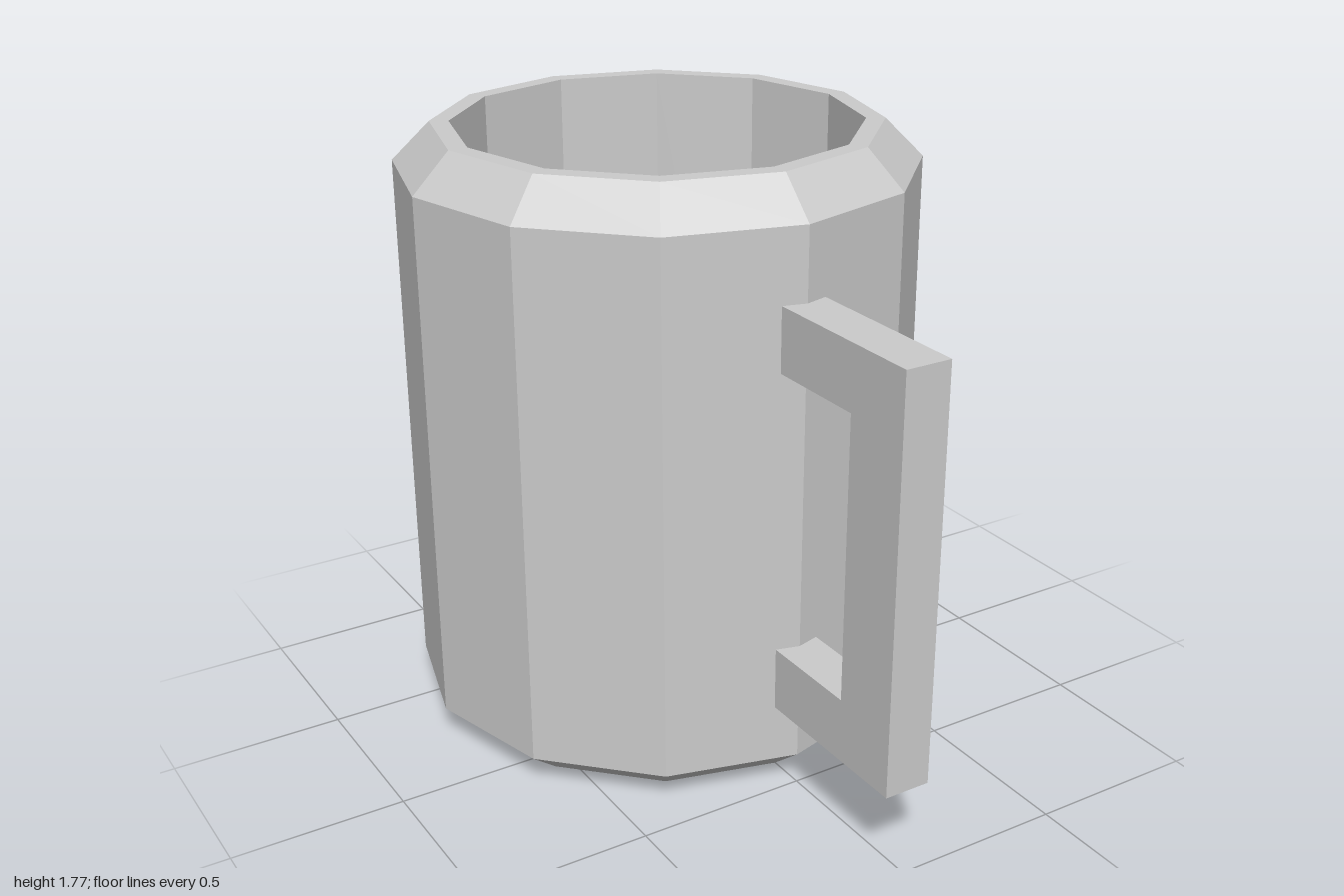
import * as THREE from 'three';

export function createModel() {
  const group = new THREE.Group();
  const material = new THREE.MeshStandardMaterial({ color: 0xcccccc, flatShading: true });
  const add = (name, geometry, z) => {
    const mesh = new THREE.Mesh(geometry, material);
    mesh.name = name;
    mesh.position.z = z;
    group.add(mesh);
  };

  // Twelve-sided cup: chamfered outside, narrow rim, straight hollow inside
  const profile = [
    [0, 0], [0.64, 0], [0.75, 0.09], [0.75, 1.66], [0.64, 1.77],
    [0.585, 1.77], [0.585, 0.1], [0, 0.1],
  ].map(([r, y]) => new THREE.Vector2(r, y));
  add('cup', new THREE.LatheGeometry(profile, 12), -0.25);

  // Square-cornered handle: a C outline in the z-y plane, its ends set into the wall
  const width = 0.135;
  const outline = new THREE.Shape([
    [0.45, 0.26], [1, 0.26], [1, 1.45], [0.45, 1.45],
    [0.45, 1.265], [0.79, 1.265], [0.79, 0.445], [0.45, 0.445],
  ].map(([z, y]) => new THREE.Vector2(z, y)));
  const handle = new THREE.ExtrudeGeometry(outline, { depth: width, bevelEnabled: false });
  handle.translate(0, 0, -width / 2).rotateY(-Math.PI / 2);
  add('handle', handle, 0);

  return group;
}
